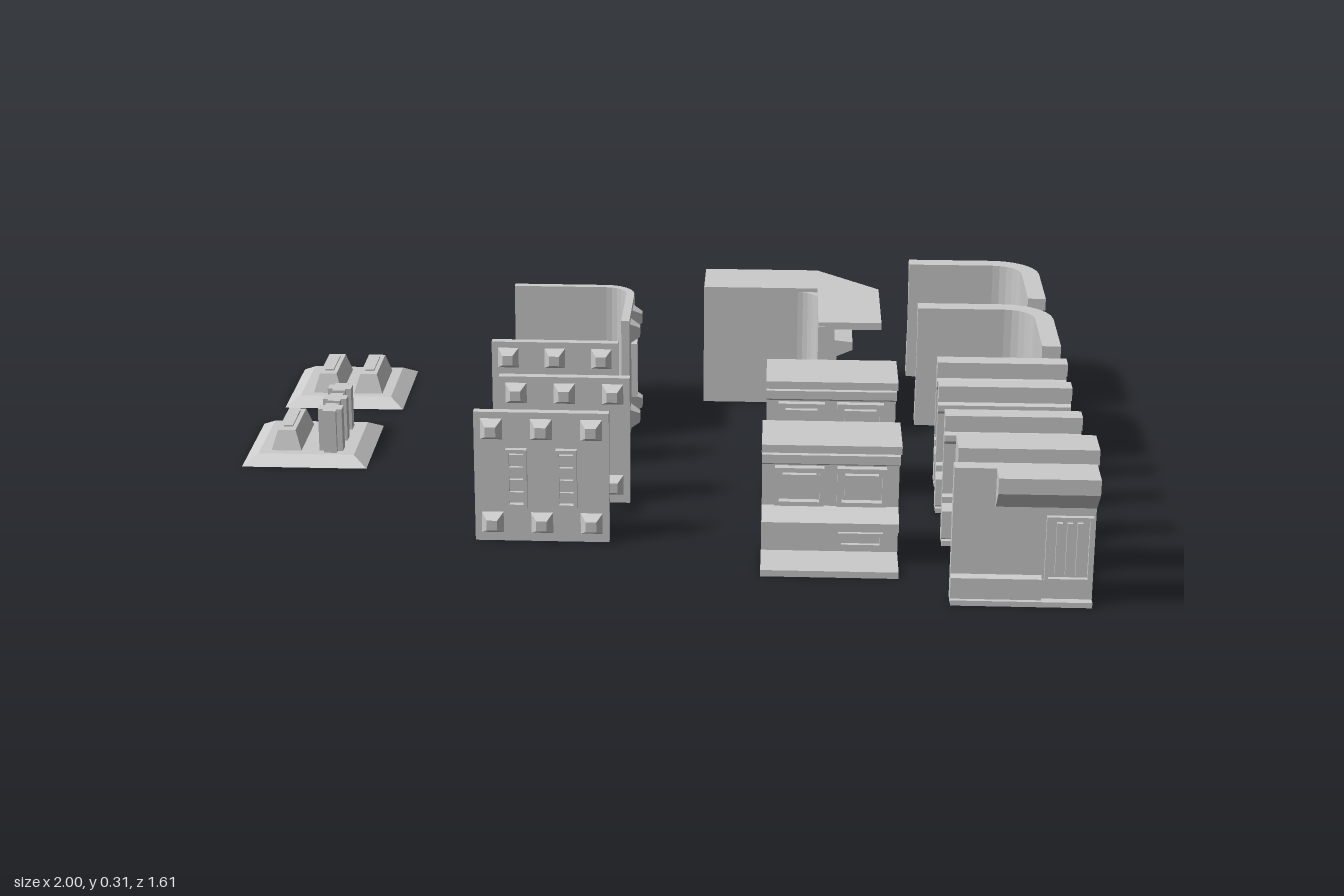
import * as THREE from 'three';

const mat = new THREE.MeshStandardMaterial({ color: 0xcccccc, flatShading: true, side: THREE.DoubleSide });
const H = 0.31;

function mesh(geo, name, parent, x = 0, y = 0, z = 0) {
  const m = new THREE.Mesh(geo, mat);
  m.name = name;
  m.position.set(x, y, z);
  parent.add(m);
  return m;
}

const box = (w, h, d) => new THREE.BoxGeometry(w, h, d);

// Box standing on its base whose top is drawn in by an inset
function frustum(w, l, h, inset) {
  const g = box(w, h, l).toNonIndexed().translate(0, h / 2, 0);
  const p = g.attributes.position;
  for (let i = 0; i < p.count; i++) if (p.getY(i) > h / 2) {
    p.setX(i, p.getX(i) * (1 - 2 * inset / w));
    p.setZ(i, p.getZ(i) * (1 - 2 * inset / l));
  }
  g.computeVertexNormals();
  return g;
}

// Wall paths: at(s, d) gives the plan position s along the back, d out from it
function straight(cx, z0, length) {
  return { length, stops: [0, length], at: (s, d) => [cx + length / 2 - s, z0 + d, 0] };
}

function corner(xStart, z0, x0, zEnd, r) {
  const a = x0 - r - xStart, arc = r * Math.PI / 2, length = a + arc + zEnd - z0 - r;
  const stops = [0];
  for (let i = 0; i <= 6; i++) stops.push(a + arc * i / 6);
  stops.push(length);
  return {
    length, stops, a, arc,
    at(s, d) {
      const t = Math.min(Math.max((s - a) / r, 0), Math.PI / 2);
      const before = Math.min(s - a, 0), after = Math.max(s - a - arc, 0);
      return [xStart + a + before + (r + d) * Math.sin(t), z0 + r - (r + d) * Math.cos(t) + after, Math.PI - t];
    },
  };
}

// Extrude a (depth, height) profile and lay it along a path
function sweep(path, profile, s0 = 0, s1 = path.length) {
  const stops = [s0, ...path.stops.filter(s => s > s0 && s < s1), s1], n = stops.length - 1;
  const g = new THREE.ExtrudeGeometry(new THREE.Shape(profile.map(p => new THREE.Vector2(...p))),
    { depth: n, steps: n, bevelEnabled: false });
  const p = g.attributes.position;
  for (let i = 0; i < p.count; i++) {
    const [x, z] = path.at(stops[Math.round(p.getZ(i))], p.getX(i));
    p.setX(i, x).setZ(i, z);
  }
  g.computeVertexNormals();
  return g;
}

const band = (d0, d1, y0, y1) => [[d0, y0], [d1, y0], [d1, y1], [d0, y1]];

// Put a piece, modelled facing +z, on the face of a wall
function place(geo, name, parent, path, s, y, d) {
  const [x, z, yaw] = path.at(s, d);
  mesh(geo, name, parent, x, y, z).rotation.y = yaw;
}

// Horizontal slab from a plan outline
function slab(points, y0, y1) {
  return new THREE.ExtrudeGeometry(new THREE.Shape(points.map(([x, z]) => new THREE.Vector2(x, -z))),
    { depth: y1 - y0, bevelEnabled: false }).rotateX(-Math.PI / 2).translate(0, y0, 0);
}

function frame(w, h, depth, rim) {
  const rect = (S, a, b) => new S([[-a, -b], [a, -b], [a, b], [-a, b]].map(p => new THREE.Vector2(...p)));
  const s = rect(THREE.Shape, w / 2, h / 2);
  s.holes.push(rect(THREE.Path, w / 2 - rim, h / 2 - rim));
  return new THREE.ExtrudeGeometry(s, { depth, bevelEnabled: false });
}

function window_(parent, path, s, y, w, h, d) {
  place(frame(w, h, 0.018, 0.01), 'windowFrame', parent, path, s, y, d);
  place(box(w - 0.035, h - 0.035, 0.016), 'windowPane', parent, path, s, y, d + 0.005);
}

function group(name, root) {
  const g = new THREE.Group();
  g.name = name;
  root.add(g);
  return g;
}

// Floor pad with sloped rim
function pad(root, cx, cz, vents, pins) {
  const g = group('floorPad', root);
  mesh(frustum(0.305, 0.305, 0.022, 0.035), 'padBase', g, cx, 0, cz);
  for (const x of vents) {
    mesh(frustum(0.075, 0.19, 0.05, 0.016), 'padVent', g, cx + x, 0.02, cz);
    mesh(box(0.022, 0.006, 0.11), 'padVentRidge', g, cx + x, 0.071, cz);
  }
  for (const z of pins) {
    mesh(box(0.058, 0.11, 0.032), 'padPin', g, cx + 0.058, 0.075, cz + z);
    mesh(box(0.032, 0.11, 0.058), 'padPin', g, cx + 0.058, 0.075, cz + z);
  }
}

// Thin panel with square studs
function studPanel(root, path, studs, rows, slots) {
  const g = group('studPanel', root);
  mesh(sweep(path, band(0, 0.02, 0, H)), 'panelSheet', g);
  for (const s of studs) for (const y of rows)
    place(frustum(0.052, 0.052, 0.026, 0.014).rotateX(Math.PI / 2), 'stud', g, path, s, y, 0.018);
  for (const s of slots) {
    place(frame(0.048, 0.14, 0.014, 0.008), 'slotFrame', g, path, s, 0.155, 0.02);
    for (let i = 0; i < 4; i++)
      place(box(0.034, 0.022, 0.01), 'slotBar', g, path, s, 0.11 + i * 0.03, 0.023);
  }
  return g;
}

const consoleProfile = [[0, 0.01], [0.04, 0.01], [0.04, 0.075], [0.085, 0.08], [0.085, 0.1], [0.05, 0.115],
  [0.03, 0.12], [0.03, 0.22], [0.05, 0.225], [0.085, 0.24], [0.085, 0.26], [0.04, 0.265], [0.04, 0.3], [0, 0.3]];
const wallProfile = [[0, 0], [0.035, 0], [0.045, 0.015], [0.045, 0.08], [0.03, 0.095], [0.03, 0.11], [0.022, 0.115],
  [0.022, 0.235], [0.035, 0.245], [0.035, 0.26], [0.025, 0.265], [0.025, 0.275], [0.045, 0.28], [0.045, H], [0, H]];

// Deep wall with floor and roof slabs
function consoleWall(root, path, outline, windows) {
  const g = group('consoleWall', root);
  mesh(sweep(path, consoleProfile), 'consoleBody', g);
  mesh(slab(outline, 0, 0.015), 'floorSlab', g);
  mesh(slab(outline, 0.292, H), 'roofSlab', g);
  for (const s of windows) window_(g, path, s, 0.17, 0.11, 0.09, 0.03);
  place(frame(0.1, 0.034, 0.01, 0.007), 'vent', g, path, windows[0], 0.045, 0.04);
}

// Banded wall with a floor lip
function bandedWall(root, path, lip) {
  const g = group('bandedWall', root);
  mesh(sweep(path, wallProfile), 'wallBody', g);
  mesh(slab(lip, 0, 0.012), 'floorLip', g);
  return g;
}

const rect = (x0, x1, z0, z1) => [[x0, z0], [x1, z0], [x1, z1], [x0, z1]];

export function createModel() {
  const root = new THREE.Group();
  root.name = 'wallKit';

  pad(root, -0.818, -0.578, [-0.05, 0.055], []);
  pad(root, -0.85, -0.15, [-0.052], [-0.076, 0, 0.076]);

  // Stud panels, one bent round a corner
  const three = [0.04, 0.1525, 0.265], rows = [0.045, 0.27];
  const bent = corner(-0.38, -0.515, -0.09, -0.235, 0.055), mid = bent.length / 2;
  studPanel(root, bent, [-2, -1, 0, 1, 2].map(i => mid + i * 0.113), rows, [mid - 0.17, mid + 0.17]);
  studPanel(root, straight(-0.24, -0.08, 0.305), three, [0.045, 0.155, 0.27], []);
  studPanel(root, straight(-0.23, 0.42, 0.305), three, rows, [0.096, 0.209]);
  const piped = studPanel(root, straight(-0.197, 0.175, 0.305), three, rows, []);
  mesh(box(0.2, 0.09, 0.012), 'pipePlate', piped, -0.197, 0.155, 0.2);
  // Hanging arm: [height, depth, y, z]
  for (const [h, d, y, z] of [[0.012, 0.14, 0.215, 0.265], [0.04, 0.01, 0.195, 0.32], [0.01, 0.045, 0.178, 0.318],
    [0.01, 0.045, 0.127, 0.318], [0.055, 0.01, 0.152, 0.338], [0.055, 0.01, 0.152, 0.3], [0.025, 0.01, 0.112, 0.318],
    [0.01, 0.04, 0.1, 0.318], [0.045, 0.01, 0.08, 0.3], [0.01, 0.04, 0.06, 0.318], [0.018, 0.01, 0.054, 0.334]])
    mesh(box(0.012, h, d), 'hangingArm', piped, -0.195, y, z);

  // Console walls
  const turn = corner(0.105, -0.53, 0.395, -0.248, 0.05);
  consoleWall(root, turn, [[0.105, -0.69], [0.395, -0.69], [0.55, -0.53], [0.55, -0.25], [0.395, -0.25],
    [0.395, -0.53], [0.105, -0.53]], [turn.a / 2, turn.length - turn.a / 2]);
  consoleWall(root, straight(0.425, 0.037, 0.305), rect(0.272, 0.577, 0.037, 0.2), [0.083, 0.222]);
  consoleWall(root, straight(0.42, 0.463, 0.305), rect(0.267, 0.572, 0.463, 0.62), [0.083, 0.222]);

  // Banded corner walls
  for (const [x, z, x0, zEnd, wraps] of [[0.637, -0.755, 0.925, -0.47, true], [0.645, -0.375, 0.93, -0.09, false]]) {
    const p = corner(x, z, x0, zEnd, 0.07);
    const g = bandedWall(root, p, [[x, z - 0.055], [x0 + 0.055, z - 0.055], [x0 + 0.055, zEnd], [x0, zEnd], [x0, z], [x, z]]);
    if (wraps) {
      mesh(sweep(p, band(0.015, 0.046, 0.16, 0.255), 0.04, p.length - 0.04), 'wrapCabinet', g);
      for (const s of [0.12, p.length - 0.12])
        place(box(0.1, 0.06, 0.012), 'cabinetDoor', g, p, s, 0.207, 0.045);
    } else for (const s of [0.14, p.length - 0.14]) window_(g, p, s, 0.195, 0.18, 0.075, 0.022);
  }

  // Straight banded walls
  for (const [x, z, w] of [[0.827, 0, 0], [0.822, 0.17, 0.16], [0.827, 0.37, 0.22]]) {
    const p = straight(x, z, 0.305);
    const g = bandedWall(root, p, rect(x - 0.152, x + 0.152, z, z + 0.055));
    if (w) window_(g, p, 0.152, 0.175, w, 0.085, 0.022);
  }

  // Walls with an overhanging locker
  for (const [x, z, s1] of [[0.845, 0.525, 0.305], [0.83, 0.705, 0.215]]) {
    const p = straight(x, z, 0.305), g = group('lockerWall', root);
    const front = 0.095;
    mesh(sweep(p, band(0, 0.035, 0, H)), 'wallSheet', g);
    mesh(sweep(p, [[0, 0.22], [0.04, 0.225], [front, 0.275], [front, H], [0, H]], 0, s1), 'locker', g);
    const lip = s1 < 0.3 ? 0.055 : front;
    mesh(slab(rect(x - 0.152, x + 0.152, z, z + lip), 0, 0.012), 'floorLip', g);
    mesh(sweep(p, [[0.03, 0.01], [0.045, 0.01], [0.045, 0.06], [0.03, 0.07]], s1 < 0.3 ? 0.11 : 0), 'skirting', g);
    place(frame(0.1, 0.15, 0.012, 0.008), 'ventFrame', g, p, 0.055, 0.13, 0.035);
    for (const s of [0.033, 0.055, 0.077])
      place(box(0.012, 0.12, 0.012), 'ventBar', g, p, s, 0.13, 0.038);
  }
  return root;
}
